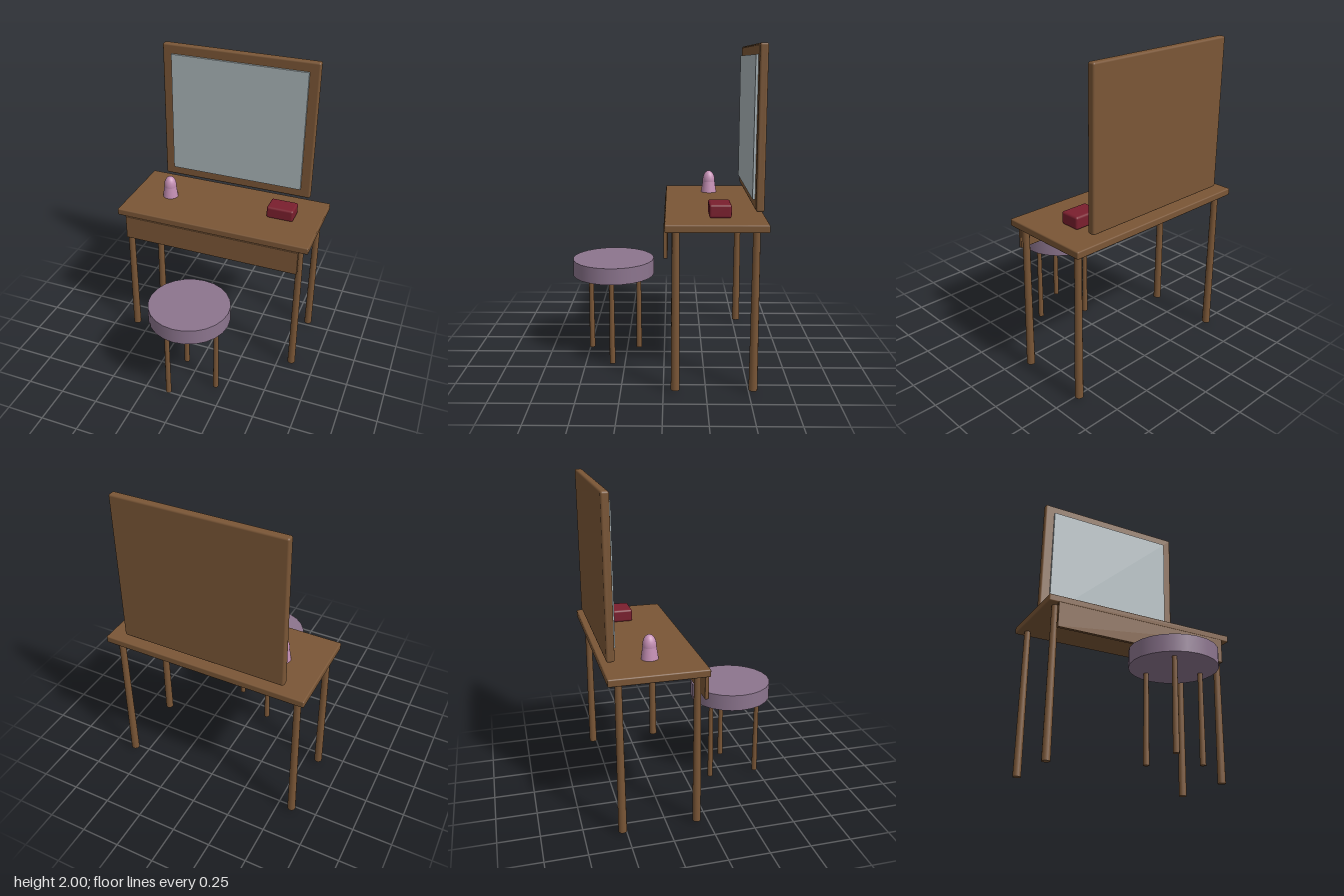
import * as THREE from 'three';
import { RoundedBoxGeometry } from 'three/addons/geometries/RoundedBoxGeometry.js';

const material = (color) => new THREE.MeshStandardMaterial({ color });

export function createModel() {
  const model = new THREE.Group();
  const wood = material(0x7a5636);
  const glass = material(0xa9b4b8);
  const mauve = material(0x8c758e);
  const pink = material(0xc48fb4);
  const red = material(0x7a1f2e);

  const add = (parent, name, geometry, mat, x, y, z) => {
    const mesh = new THREE.Mesh(geometry, mat);
    mesh.name = name;
    mesh.position.set(x, y, z);
    parent.add(mesh);
    return mesh;
  };
  const group = (name) => {
    const g = new THREE.Group();
    g.name = name;
    model.add(g);
    return g;
  };
  const rounded = (w, h, d, r) => new RoundedBoxGeometry(w, h, d, 2, r);

  // Table: top, front apron and four tapered legs
  const table = group('table');
  add(table, 'tableTop', rounded(1.31, 0.046, 0.586, 0.008), wood, 0, 0.992, -0.3);
  add(table, 'apron', rounded(1.19, 0.165, 0.024, 0.005), wood, 0, 0.889, -0.013);
  for (const x of [-0.593, 0.593]) {
    for (const z of [-0.07, -0.525]) {
      add(table, 'tableLeg', new THREE.CylinderGeometry(0.021, 0.026, 0.957, 12), wood, x, 0.4935, z);
    }
  }

  // Mirror: solid back frame with a glass pane in front
  const mirror = group('mirror');
  add(mirror, 'mirrorFrame', rounded(1.046, 0.94, 0.048, 0.012), wood, 0, 1.53, -0.55);
  add(mirror, 'mirrorGlass', new THREE.BoxGeometry(0.915, 0.815, 0.016), glass, 0, 1.53, -0.519);

  // Stool: round cushion on three legs
  const stool = group('stool');
  const stoolZ = 0.33;
  add(stool, 'stoolSeat', new THREE.CylinderGeometry(0.262, 0.262, 0.104, 24), mauve, 0, 0.596, stoolZ);
  for (let i = 0; i < 3; i++) {
    const a = (i * Math.PI * 2) / 3;
    add(stool, 'stoolLeg', new THREE.CylinderGeometry(0.015, 0.0185, 0.544, 10), wood,
      0.183 * Math.cos(a), 0.272, stoolZ + 0.183 * Math.sin(a));
  }

  // Bottle: tapered body with a domed cap
  const bottle = group('bottle');
  add(bottle, 'bottleBody', new THREE.CylinderGeometry(0.039, 0.052, 0.09, 20), pink, -0.396, 1.06, -0.302);
  const cap = add(bottle, 'bottleCap', new THREE.SphereGeometry(0.042, 20, 14), pink, -0.396, 1.095, -0.302);
  cap.scale.y = 1.6;

  // Small jewellery box
  add(model, 'jewelleryBox', rounded(0.18, 0.08, 0.13, 0.014), red, 0.392, 1.055, -0.328);

  return model;
}
